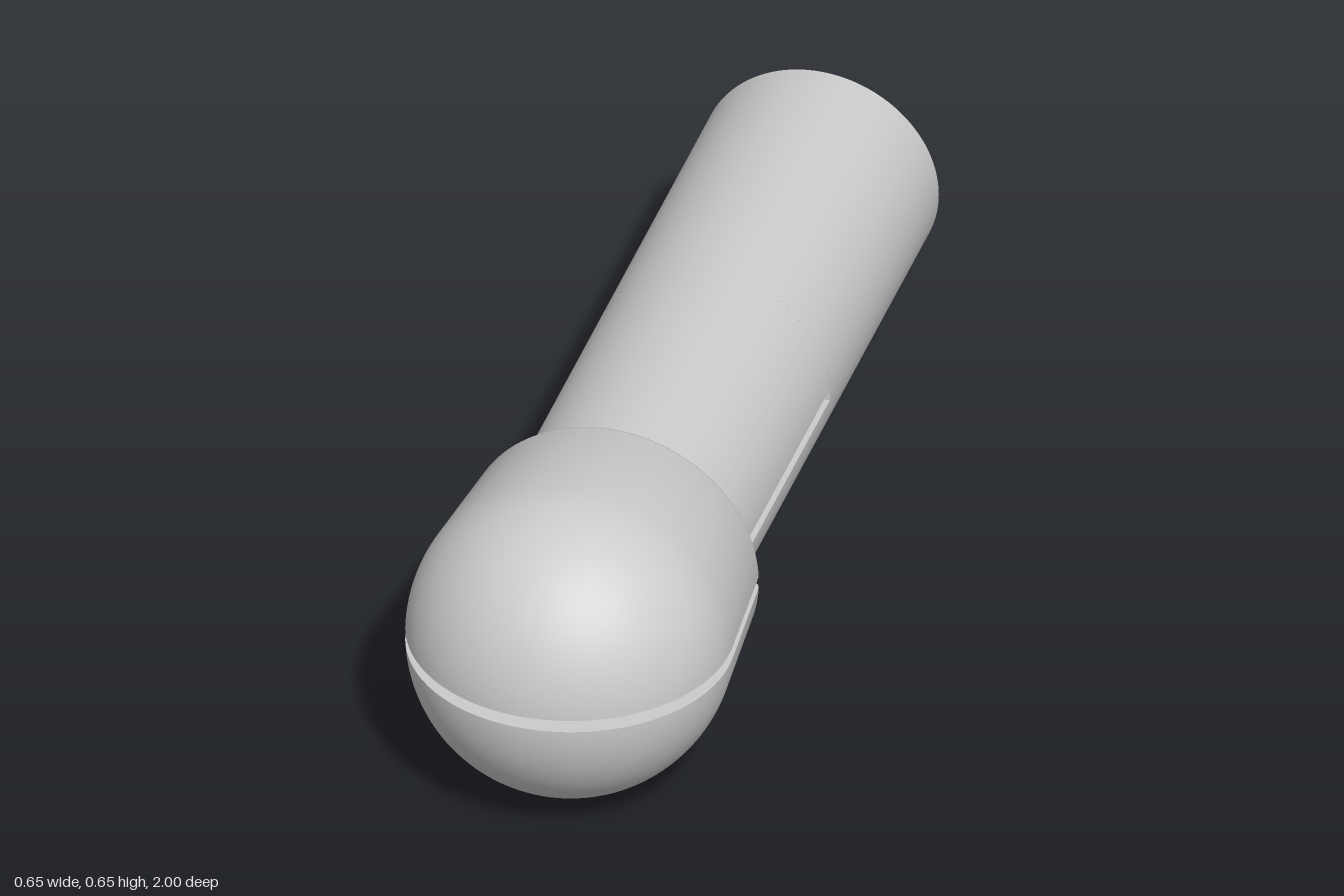
import * as THREE from 'three';
import { toCreasedNormals } from 'three/addons/utils/BufferGeometryUtils.js';

const R = 0.327;        // ball radius, also the height of the axis
const SHANK = 0.245;    // shank radius
const GAP = 0.0135;     // half the slot height
const SLOT_END = -0.27;
const BACK = -1;

// Loft a half-round solid, cut flat at y = GAP, through [z, radius] stations ordered front to back
function halfRound(profile, segments = 72) {
  const positions = [], index = [], ring = segments + 1;
  for (const [z, r] of profile) {
    const start = Math.asin(Math.min(1, GAP / r));
    for (let j = 0; j <= segments; j++) {
      const t = start + (Math.PI - 2 * start) * j / segments;
      positions.push(r * Math.cos(t), r * Math.sin(t), z);
    }
  }
  // the last quad of every ring closes the flat slot wall
  for (let i = 0; i < profile.length - 1; i++) {
    for (let j = 0; j < ring; j++) {
      const k = (j + 1) % ring;
      const a = i * ring + j, b = i * ring + k, c = a + ring, d = b + ring;
      if (i > 0) index.push(a, c, b);
      index.push(b, c, d);
    }
  }
  const geometry = new THREE.BufferGeometry();
  geometry.setAttribute('position', new THREE.Float32BufferAttribute(positions, 3));
  geometry.setIndex(index);
  return toCreasedNormals(geometry, 0.5);
}

export function createModel() {
  const model = new THREE.Group();
  model.name = 'slottedBallPin';
  const material = new THREE.MeshStandardMaterial({ color: 0xcccccc });
  const add = (name, geometry, parent = model) => {
    const mesh = new THREE.Mesh(geometry, material);
    mesh.name = name;
    parent.add(mesh);
    return mesh;
  };

  // Domed nose, then a slight taper, a chamfered shoulder and the split part of the shank
  const profile = [];
  const first = Math.asin(GAP / R), last = Math.PI / 2 + 0.083;
  for (let i = 0; i <= 32; i++) {
    const t = first + (last - first) * i / 32;
    profile.push([1 - R + R * Math.cos(t), R * Math.sin(t)]);
  }
  profile.push([0.395, 0.303], [0.386, 0.299], [0.335, SHANK], [SLOT_END, SHANK]);

  // Two prongs either side of the slot
  const prong = halfRound(profile);
  for (const [name, turn] of [['upperProng', 0], ['lowerProng', Math.PI]]) {
    const mesh = add(name, prong);
    mesh.position.y = R;
    mesh.rotation.z = turn;
  }

  // Solid rear shank
  const length = SLOT_END - BACK;
  const shank = new THREE.Group();
  shank.name = 'shank';
  shank.position.y = R;
  model.add(shank);
  add('shankWall', new THREE.CylinderGeometry(SHANK, SHANK, length, 144, 1, true)
    .rotateX(Math.PI / 2).translate(0, 0, BACK + length / 2), shank);
  add('shankEnd', new THREE.CircleGeometry(SHANK, 144).rotateY(Math.PI).translate(0, 0, BACK), shank);

  // Wall closing the slot
  add('slotEnd', new THREE.PlaneGeometry(2 * SHANK, 2 * GAP).translate(0, 0, SLOT_END), shank);

  return model;
}
